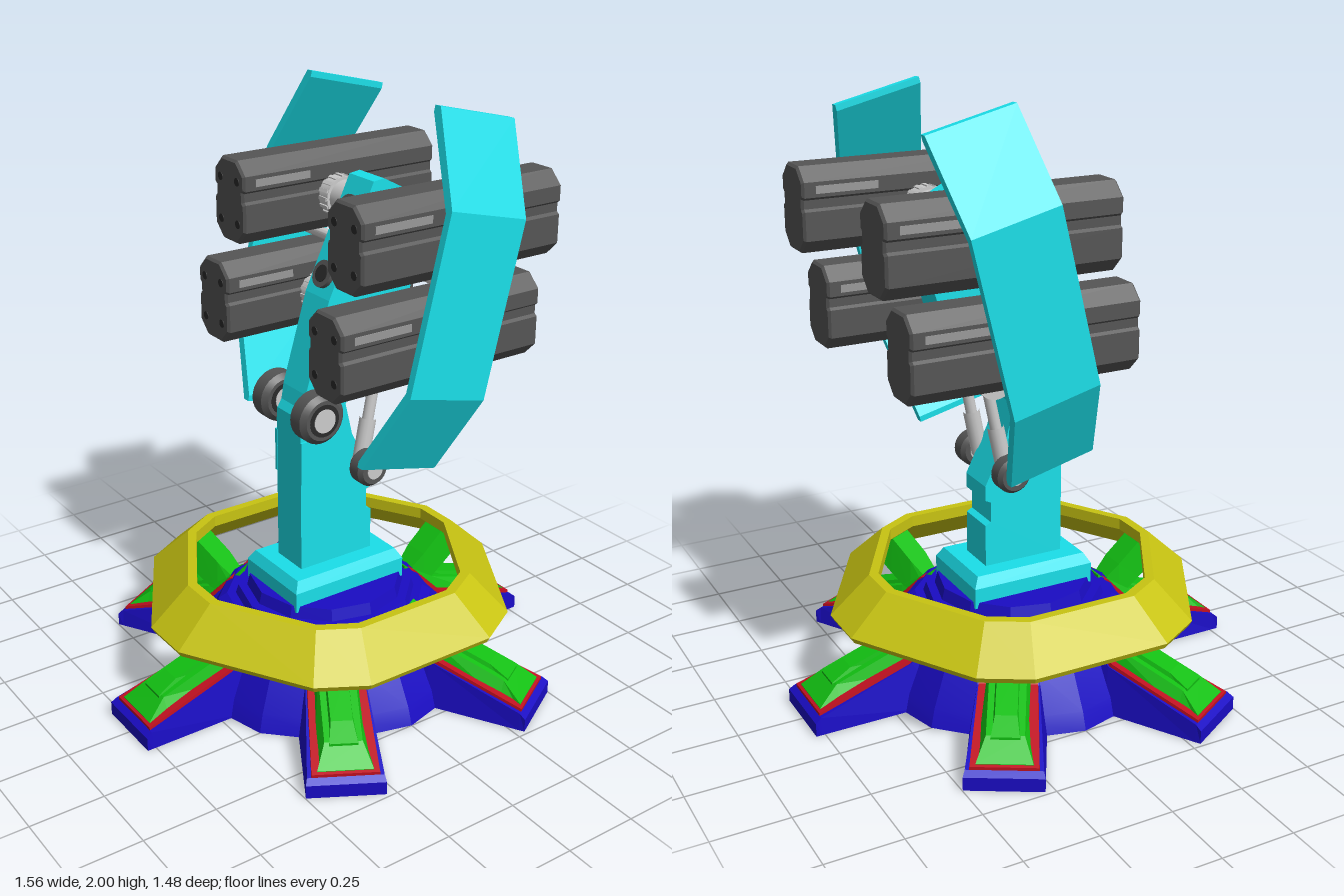
import * as THREE from 'three';
import { toCreasedNormals } from 'three/addons/utils/BufferGeometryUtils.js';

const CYAN = 0x1adfe9, YELLOW = 0xc8c412, GREEN = 0x12c012, BLUE = 0x1a0cc4, RED = 0xc01020;
const DARK = 0x555555, BLACK = 0x2a2a2a, GREY = 0xcccccc;

function add(parent, name, geometry, color, x = 0, y = 0, z = 0) {
  const mesh = new THREE.Mesh(geometry, new THREE.MeshStandardMaterial({ color }));
  mesh.name = name;
  mesh.position.set(x, y, z);
  parent.add(mesh);
  return mesh;
}

// Skin a row of cross-sections with flat quads, optionally capping the ends
function skin(rows, caps = true) {
  const out = [];
  const tri = (a, b, c) => out.push(...a, ...b, ...c);
  for (let i = 0; i < rows.length - 1; i++) {
    const p = rows[i], q = rows[i + 1], n = p.length;
    for (let j = 0; j < n; j++) {
      const k = (j + 1) % n;
      tri(p[j], p[k], q[k]);
      tri(p[j], q[k], q[j]);
    }
  }
  if (caps) {
    const s = rows[0], e = rows[rows.length - 1];
    for (let j = 1; j < s.length - 1; j++) {
      tri(s[0], s[j + 1], s[j]);
      tri(e[0], e[j], e[j + 1]);
    }
  }
  const g = new THREE.BufferGeometry();
  g.setAttribute('position', new THREE.Float32BufferAttribute(out, 3));
  g.computeVertexNormals();
  return g;
}

// Bar running along +x; station = [x, bottomY, topY, bottomHalfWidth, topHalfWidth]
const bar = stations => skin(stations.map(([x, b, t, wb, wt]) =>
  [[x, t, -wt], [x, t, wt], [x, b, wb], [x, b, -wb]]));

// Flat plate from an outline in x and y, centred on z
function plate(points, depth, bevel = 0) {
  const shape = new THREE.Shape(points.map(p => new THREE.Vector2(...p)));
  const g = new THREE.ExtrudeGeometry(shape, {
    depth: depth - 2 * bevel, bevelEnabled: bevel > 0, bevelSize: bevel,
    bevelThickness: bevel, bevelOffset: -bevel, bevelSegments: 1,
  });
  return g.translate(0, 0, -depth / 2 + bevel);
}

// Turned part lying along z, from [radius, z] points
function turned(points, segments = 28) {
  const g = new THREE.LatheGeometry(points.map(p => new THREE.Vector2(...p)), segments);
  return toCreasedNormals(g.rotateX(Math.PI / 2), 0.55);
}
const rod = (r, length) => turned([[0, -length / 2], [r, -length / 2], [r, length / 2], [0, length / 2]]);

function buildBase(root) {
  const base = new THREE.Group();
  base.name = 'base';
  root.add(base);

  const hub = new THREE.LatheGeometry([[0, 0], [0.5, 0], [0.48, 0.06], [0.37, 0.26], [0.34, 0.28],
    [0.31, 0.28], [0.3, 0.31], [0.27, 0.31], [0.26, 0.35], [0, 0.35]]
    .map(p => new THREE.Vector2(...p)), 12);
  add(base, 'hub', toCreasedNormals(hub, 0.2), BLUE);

  for (let k = 0; k < 6; k++) {
    const leg = new THREE.Group();
    leg.name = 'leg';
    leg.rotation.y = k * Math.PI / 3;
    base.add(leg);
    add(leg, 'foot', bar([[0.15, 0, 0.27, 0.12, 0.07], [0.33, 0, 0.27, 0.125, 0.075],
      [0.43, 0, 0.16, 0.125, 0.1], [0.76, 0, 0.06, 0.125, 0.12], [0.78, 0, 0.045, 0.125, 0.125]]), BLUE);
    add(leg, 'trimPlate', bar([[0.3, 0.2, 0.28, 0.07, 0.068], [0.34, 0.2, 0.275, 0.075, 0.072],
      [0.44, 0.12, 0.17, 0.1, 0.095], [0.76, 0.04, 0.07, 0.108, 0.106]]), RED);
    // Armour: wide sloped skirt, then a narrower raised spine
    add(leg, 'armour', bar([[0.31, 0.2, 0.29, 0.06, 0.05], [0.36, 0.2, 0.26, 0.065, 0.055],
      [0.43, 0.12, 0.215, 0.085, 0.06], [0.68, 0.07, 0.13, 0.09, 0.06], [0.75, 0.05, 0.075, 0.093, 0.088]]), GREEN);
    add(leg, 'spine', bar([[0.38, 0.2, 0.24, 0.045, 0.04], [0.43, 0.16, 0.228, 0.045, 0.035],
      [0.62, 0.12, 0.165, 0.05, 0.035], [0.69, 0.1, 0.13, 0.05, 0.045]]), GREEN);
    // Bracket leaning outward to carry the ring
    add(leg, 'ringBracket', bar([[0.33, 0.19, 0.24, 0.04, 0.03], [0.4, 0.19, 0.31, 0.055, 0.045],
      [0.48, 0.25, 0.38, 0.055, 0.045], [0.53, 0.29, 0.34, 0.055, 0.05]]), GREEN);
  }

  // Hexagonal ring with clipped corners
  const profile = [[0.44, 0.425], [0.47, 0.425], [0.595, 0.3], [0.585, 0.28], [0.55, 0.28], [0.44, 0.385]];
  const clip = 0.141, reach = Math.cos(Math.PI / 6 - clip);
  const rows = [];
  for (let k = 0; k <= 6; k++) {
    for (const d of [-clip, clip]) {
      const a = k * Math.PI / 3 + d;
      rows.push(profile.map(([r, y]) => [r / reach * Math.cos(a), y, -r / reach * Math.sin(a)]));
    }
  }
  add(base, 'ring', skin(rows.slice(0, 13), false), YELLOW);
}

function buildColumn(root) {
  const column = new THREE.Group();
  column.name = 'column';
  root.add(column);
  add(column, 'plinth', skin([[0.33, 0.22, 0.15], [0.4, 0.22, 0.15], [0.435, 0.2, 0.13]].map(([y, w, d]) =>
    [[-w, y, -d], [-w, y, d], [w, y, d], [w, y, -d]].reverse()).reverse()), CYAN);
  add(column, 'post', plate([[-0.145, 0.42], [0.14, 0.42], [0.14, 0.58], [0.12, 0.59], [0.12, 0.66],
    [0.14, 0.67], [0.14, 0.72], [0.06, 0.88], [0.02, 1.05], [-0.1, 1.06], [-0.145, 0.98]], 0.14), CYAN);
  for (const s of [-1, 1]) {
    add(column, 'sidePlate', plate([[-0.147, 0.75], [-0.115, 0.76], [-0.1, 0.9], [-0.147, 0.9]], 0.012), CYAN, 0, 0, s * 0.072);
    // Upper and lower pivots
    const tyre = (r, w) => turned([[0, -w], [r * 0.8, -w], [r, -w * 0.6], [r, w * 0.6], [r * 0.8, w], [0, w]]);
    add(column, 'upperPivot', tyre(0.085, 0.043), DARK, -0.11, 1, s * 0.112);
    add(column, 'upperPivotRing', rod(0.055, 0.09), BLACK, -0.11, 1, s * 0.112);
    add(column, 'upperPivotCap', rod(0.04, 0.096), GREY, -0.11, 1, s * 0.112);
    add(column, 'lowerPivot', tyre(0.06, 0.037), DARK, 0.08, 0.78, s * 0.135);
    add(column, 'lowerPivotCap', rod(0.03, 0.08), GREY, 0.08, 0.78, s * 0.135);
    // Pistons from the lower pivots to the roller
    const a = new THREE.Vector3(0.08, 0.78, s * 0.09), b = new THREE.Vector3(0.15, 1.12, s * 0.085);
    const mid = a.clone().lerp(b, 0.45);
    add(column, 'pistonSleeve', new THREE.TubeGeometry(new THREE.LineCurve3(a, mid), 1, 0.028, 14), GREY);
    add(column, 'pistonRod', new THREE.TubeGeometry(new THREE.LineCurve3(a, b), 1, 0.019, 14), GREY);
  }
  add(column, 'lowerAxle', rod(0.025, 0.2), GREY, 0.08, 0.78, 0);
  add(column, 'roller', rod(0.058, 0.34), GREY, 0.15, 1.12, 0);
  for (const s of [-1, 1]) add(column, 'rollerCollar', rod(0.065, 0.05), GREY, 0.15, 1.12, s * 0.148);
}

function buildHead(root) {
  const head = new THREE.Group();
  head.name = 'head';
  root.add(head);
  add(head, 'arm', plate([[-0.14, 0.95], [0.0, 0.93], [0.1, 1.1], [0.24, 1.17], [0.37, 1.6], [0.36, 1.63],
    [0.18, 1.725], [0.14, 1.72], [-0.03, 1.36], [-0.12, 1.06]], 0.13), CYAN);
  // Round ports on the sloping back of the arm
  for (const [x, y] of [[0, 1.425], [0.095, 1.625]]) {
    [[0.045, 0.03, DARK], [0.028, 0.036, BLACK]].forEach(([r, h, color]) => {
      add(head, 'port', new THREE.CylinderGeometry(r, r, h, 20), color, x, y).rotation.z = 1.13;
    });
  }
  add(head, 'crossRod', rod(0.019, 0.95), GREY, 0.19, 1.46, 0);

  // Launcher cross-section with chamfers and a shallow side groove
  const half = [[0.045, -0.138], [0.09, -0.093], [0.09, 0], [0.08, 0.008], [0.08, 0.036],
    [0.09, 0.044], [0.09, 0.093], [0.045, 0.138]];
  const outline = [...half, ...half.map(([x, y]) => [-x, y]).reverse()];
  const body = plate(outline, 0.77, 0.008).rotateY(Math.PI / 2);

  for (const [x, y, axleX] of [[0.23, 1.62, 0.205], [0.16, 1.295, 0.13]]) {
    for (const s of [-1, 1]) {
      add(head, 'axle', rod(0.058, 0.24), GREY, axleX, y - 0.015, s * 0.14);
      add(head, 'axleCollar', rod(0.068, 0.05), GREY, axleX, y - 0.015, s * 0.21);
      // Raised teeth round the collar
      for (let k = 0; k < 16; k++) {
        const a = k * Math.PI / 8;
        add(head, 'collarTooth', new THREE.BoxGeometry(0.01, 0.012, 0.045), GREY,
          axleX + 0.067 * Math.cos(a), y - 0.015 + 0.067 * Math.sin(a), s * 0.21).rotation.z = a;
      }
      const launcher = new THREE.Group();
      launcher.name = 'launcher';
      launcher.position.set(x, y, s * 0.32);
      head.add(launcher);
      add(launcher, 'launcherBody', body, DARK);
      for (const t of [-1, 1]) {
        add(launcher, 'lightStrip', new THREE.BoxGeometry(0.21, 0.025, 0.004), 0x999999, -t * 0.235, 0.068, t * 0.09);
        for (const h of [-0.07, 0.07]) {
          add(launcher, 'endHole', new THREE.CylinderGeometry(0.014, 0.014, 0.006, 14), BLACK, -0.384, h, t * 0.05).rotation.z = Math.PI / 2;
        }
      }
    }
  }

  // Bent shields, leaning with the arm
  const shields = new THREE.Group();
  shields.name = 'shields';
  shields.position.set(0.18, 1.415, 0);
  shields.rotation.z = -0.241;
  head.add(shields);
  for (const s of [-1, 1]) {
    const edge = [[0.32, -0.567], [0.345, -0.567], [0.493, -0.287], [0.493, 0.287], [0.345, 0.567],
      [0.32, 0.567], [0.32, 0.547], [0.468, 0.275], [0.468, -0.275], [0.32, -0.547]];
    add(shields, 'shield', plate(edge.map(([z, v]) => [-s * z, v]), 0.298).rotateY(Math.PI / 2), CYAN);
  }
}

export function createModel() {
  const root = new THREE.Group();
  root.name = 'launcherTurret';
  buildBase(root);
  buildColumn(root);
  buildHead(root);
  return root;
}
